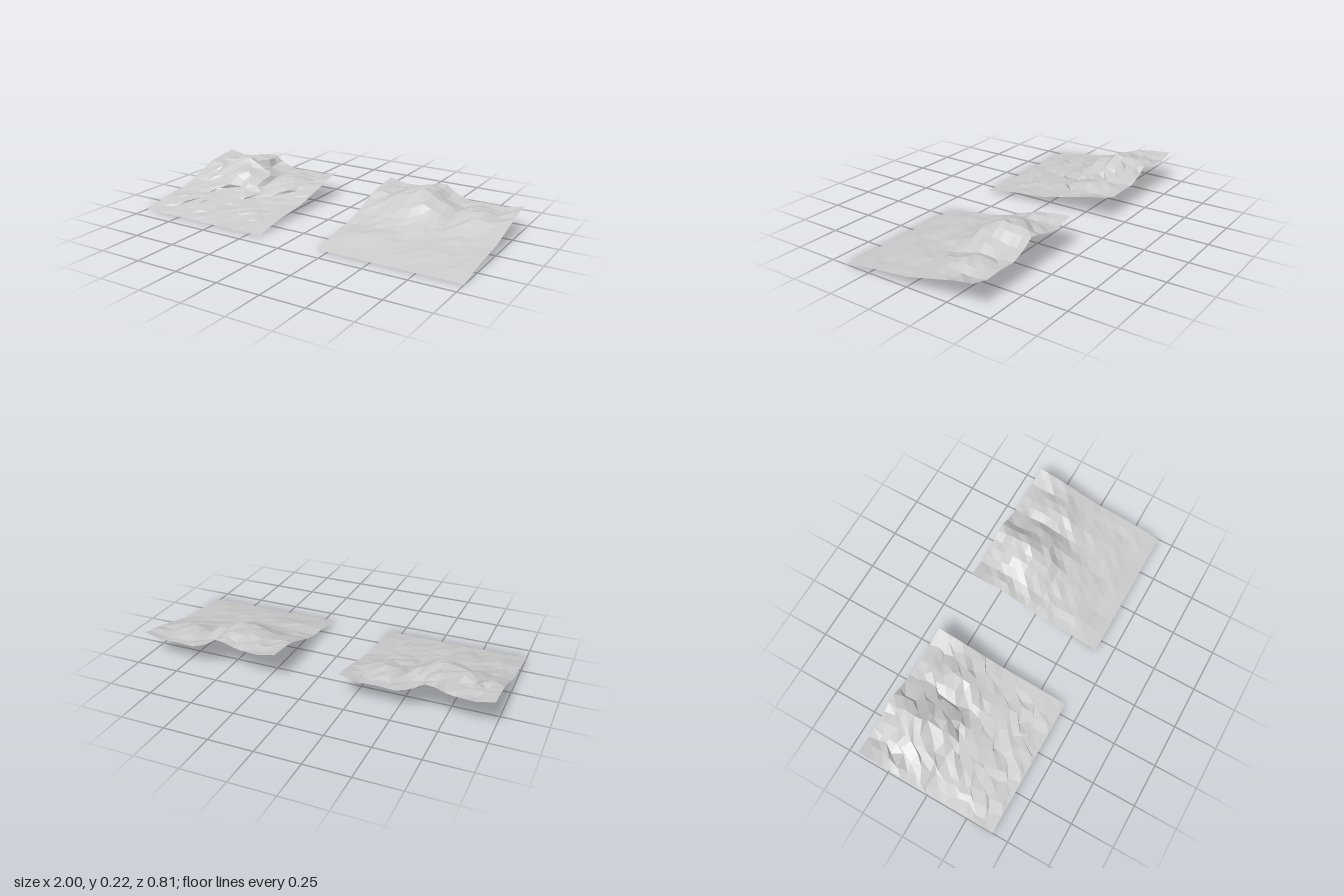
import * as THREE from 'three';

const SIZE = 0.815, CELLS = 16;

// Coarse heights of the hillside: rows from back to front, columns from -x to +x
const HEIGHTS = [
  [0.175, 0.155, 0.16, 0.18, 0.15, 0.12, 0.125, 0.12, 0.145],
  [0.165, 0.155, 0.18, 0.205, 0.13, 0.115, 0.135, 0.11, 0.13],
  [0.15, 0.145, 0.19, 0.215, 0.165, 0.12, 0.14, 0.115, 0.105],
  [0.115, 0.12, 0.155, 0.175, 0.14, 0.085, 0.105, 0.09, 0.08],
  [0.075, 0.08, 0.09, 0.1, 0.085, 0.065, 0.07, 0.06, 0.055],
  [0.05, 0.055, 0.06, 0.06, 0.055, 0.05, 0.05, 0.045, 0.045],
  [0.04, 0.05, 0.05, 0.045, 0.035, 0.04, 0.04, 0.03, 0.035],
  [0.02, 0.025, 0.015, 0.02, 0.025, 0.02, 0.015, 0.02, 0.02],
  [0, 0, 0, 0, 0, 0, 0, 0, 0],
];

// Repeatable noise in -1..1 for a grid point
function noise(i, j, seed) {
  const s = Math.sin(i * 127.1 + j * 311.7 + seed * 74.7) * 43758.5453;
  return (s - Math.floor(s)) * 2 - 1;
}

// Height at a fine grid point: blended coarse heights, a back ridge and roughness
function heightAt(i, j) {
  const u = i / 2, v = j / 2;
  const a = Math.min(7, Math.floor(u)), b = Math.min(7, Math.floor(v));
  const mix = THREE.MathUtils.lerp;
  const h = mix(
    mix(HEIGHTS[b][a], HEIGHTS[b][a + 1], u - a),
    mix(HEIGHTS[b + 1][a], HEIGHTS[b + 1][a + 1], u - a), v - b);
  const ridge = 0.03 * Math.exp(-((i - 7) ** 2) / 0.8 - (j - 0.5) ** 2 / 3);
  const inside = i > 0 && i < CELLS && j > 0 && j < CELLS;
  const rough = inside ? 0.07 * h * noise(i, j, 1) : 0;
  return Math.min(0.225, Math.max(0, h + ridge + rough));
}

// Square of terrain; jitter shifts the inner points sideways, in cells
function terrain(name, x, jitter) {
  const geometry = new THREE.PlaneGeometry(SIZE, SIZE, CELLS, CELLS);
  geometry.rotateX(-Math.PI / 2);
  const p = geometry.attributes.position;
  const step = SIZE / CELLS;
  for (let j = 0; j <= CELLS; j++) {
    for (let i = 0; i <= CELLS; i++) {
      const k = j * (CELLS + 1) + i;
      p.setY(k, heightAt(i, j));
      if (i > 0 && i < CELLS && j > 0 && j < CELLS) {
        p.setX(k, p.getX(k) + noise(i, j, 2) * jitter * step);
        p.setZ(k, p.getZ(k) + noise(i, j, 3) * jitter * step);
      }
    }
  }
  geometry.computeVertexNormals();
  const mesh = new THREE.Mesh(geometry, new THREE.MeshStandardMaterial({
    color: 0xcccccc, flatShading: true, side: THREE.DoubleSide,
  }));
  mesh.name = name;
  mesh.position.x = x;
  return mesh;
}

export function createModel() {
  const group = new THREE.Group();
  group.name = 'terrainPair';
  const offset = 1 - SIZE / 2;
  group.add(terrain('regularTerrain', offset, 0));
  group.add(terrain('irregularTerrain', -offset, 0.45));
  return group;
}
